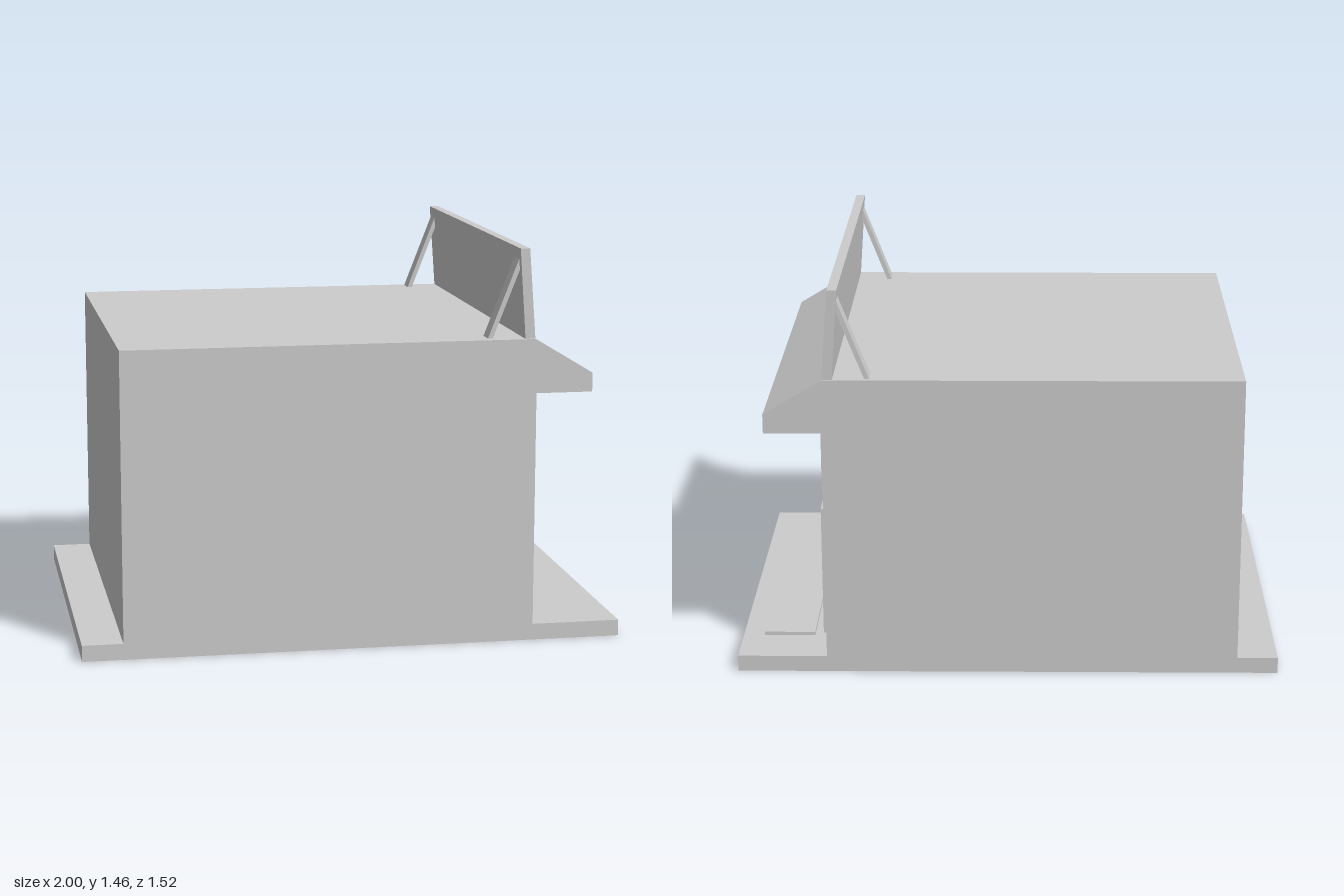
import * as THREE from 'three';

const material = new THREE.MeshStandardMaterial({ color: 0xcccccc, flatShading: true, side: THREE.DoubleSide });

// Profile in x/y, extruded along z from z0 to z1
function prism(name, points, z0, z1) {
  const shape = new THREE.Shape(points.map(([x, y]) => new THREE.Vector2(x, y)));
  const geometry = new THREE.ExtrudeGeometry(shape, { depth: z1 - z0, bevelEnabled: false });
  geometry.translate(0, 0, z0);
  const mesh = new THREE.Mesh(geometry, material);
  mesh.name = name;
  return mesh;
}

// Rectangle in z/y ([z0, z1, y0, y1]) with rectangular holes, extruded along x from x0 to x1
function panel(name, rect, x0, x1, holes = []) {
  const corners = ([z0, z1, y0, y1]) =>
    [[-z1, y0], [-z0, y0], [-z0, y1], [-z1, y1]].map(([a, b]) => new THREE.Vector2(a, b));
  const shape = new THREE.Shape(corners(rect));
  for (const hole of holes) shape.holes.push(new THREE.Path(corners(hole).reverse()));
  const geometry = new THREE.ExtrudeGeometry(shape, { depth: x1 - x0, bevelEnabled: false });
  geometry.rotateY(Math.PI / 2).translate(x0, 0, 0);
  const mesh = new THREE.Mesh(geometry, material);
  mesh.name = name;
  return mesh;
}

// Box shell without its bottom face
function openBox(name, x0, x1, y0, y1, z0, z1) {
  const geometry = new THREE.BoxGeometry(x1 - x0, y1 - y0, z1 - z0);
  const index = Array.from(geometry.index.array);
  index.splice(18, 6);
  geometry.setIndex(index);
  geometry.clearGroups();
  geometry.translate((x0 + x1) / 2, (y0 + y1) / 2, (z0 + z1) / 2);
  const mesh = new THREE.Mesh(geometry, material);
  mesh.name = name;
  return mesh;
}

export function createModel() {
  const group = new THREE.Group();
  group.name = 'shop';
  const W = 0.76;

  // Pavement, hollow underneath, with the mat set through it
  group.add(openBox('pavement', -1, 1, 0, 0.06, -W, W));
  group.add(openBox('doormat', 0.73, 0.92, 0.01, 0.073, -0.565, -0.215));

  // Main block with the sloped canopy
  group.add(prism('building', [
    [-0.85, 0.06], [0.62, 0.06], [0.62, 0.93], [0.88, 0.93],
    [0.88, 1.0], [0.665, 1.13], [-0.85, 1.13],
  ], -W, W));

  // Shop front wall with the window opening
  const opening = [0.1, 0.63, 0.25, 0.905];
  group.add(panel('frontWall', [-W, W, 0.06, 0.93], 0.62, 0.67, [opening]));
  group.add(panel('windowFrame', [0.08, 0.65, 0.225, 0.93], 0.67, 0.69, [opening]));
  group.add(panel('wallSign', [-0.58, -0.2, 0.635, 0.88], 0.67, 0.69));

  // Door with two recessed panels and a handle
  const door = new THREE.Group();
  door.name = 'door';
  door.add(panel('doorFrame', [-0.54, -0.24, 0.06, 0.56], 0.67, 0.7, [
    [-0.51, -0.275, 0.29, 0.525],
    [-0.51, -0.275, 0.09, 0.27],
  ]));
  door.add(panel('doorPanels', [-0.53, -0.25, 0.07, 0.55], 0.67, 0.68));
  door.add(panel('doorHandle', [-0.275, -0.24, 0.27, 0.29], 0.7, 0.71));
  group.add(door);

  // Roof signboard leaning back, held by two struts
  group.add(prism('signboard', [[0.628, 1.13], [0.665, 1.13], [0.64, 1.46], [0.605, 1.46]], -0.755, 0.75));
  for (const [name, z] of [['leftStrut', -0.71], ['rightStrut', 0.687]]) {
    group.add(prism(name, [[0.495, 1.13], [0.513, 1.13], [0.611, 1.38], [0.608, 1.42]], z - 0.034, z + 0.034));
  }
  return group;
}
